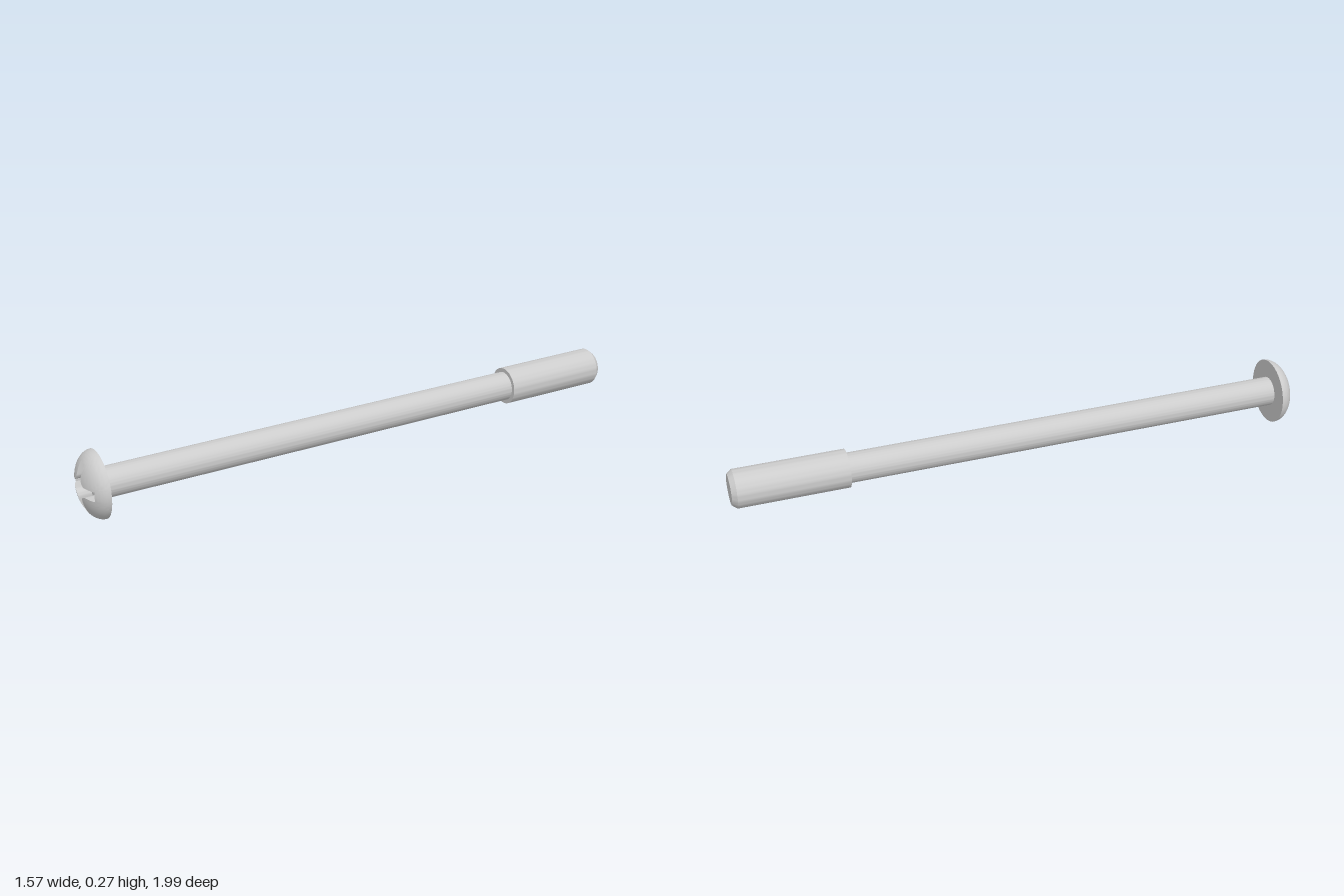
import * as THREE from 'three';
import { toCreasedNormals } from 'three/addons/utils/BufferGeometryUtils.js';

const material = new THREE.MeshStandardMaterial({ color: 0xcccccc });
const HEAD_R = 0.136, HEAD_H = 0.08;    // domed head
const ARM_L = 0.1, ARM_W = 0.02, FILLET = 0.03, FLOOR = 0.02; // cross recess
const LENGTH = 2.324, SLEEVE_START = 1.857;

function addMesh(group, name, geometry) {
  const mesh = new THREE.Mesh(toCreasedNormals(geometry, 0.6), material);
  mesh.name = name;
  group.add(mesh);
}

// Counter-clockwise outline of the cross, with rounded inner corners
function crossOutline() {
  const points = [];
  const line = (x0, y0, x1, y1, n) => {
    for (let k = 0; k < n; k++) {
      points.push(new THREE.Vector2(x0 + (x1 - x0) * k / n, y0 + (y1 - y0) * k / n));
    }
  };
  const c = ARM_W + FILLET;
  for (let q = 0; q < 4; q++) {
    const start = points.length;
    line(ARM_L, -ARM_W, ARM_L, ARM_W, 4);
    line(ARM_L, ARM_W, c, ARM_W, 4);
    for (let k = 0; k < 8; k++) {
      const a = -Math.PI / 2 - (k / 8) * Math.PI / 2;
      points.push(new THREE.Vector2(c + FILLET * Math.cos(a), c + FILLET * Math.sin(a)));
    }
    line(ARM_W, c, ARM_W, ARM_L, 4);
    for (let i = start; i < points.length; i++) {
      points[i].rotateAround(new THREE.Vector2(), q * Math.PI / 2);
    }
  }
  return points;
}

// Elliptical dome around a sunken cross: floor, walls, then rings out to the rim
function headGeometry() {
  const outline = crossOutline(), cols = outline.length, rings = 14;
  const dome = r => HEAD_H * Math.sqrt(Math.max(0, 1 - (r / HEAD_R) ** 2));
  const rows = rings + 3, positions = [], index = [];
  for (const p of outline) {
    const inner = p.length(), a = p.angle();
    const put = (r, z) => positions.push(r * Math.cos(a), r * Math.sin(a), z);
    put(0, FLOOR);
    put(inner, FLOOR);
    for (let k = 0; k <= rings; k++) {
      const r = inner + (HEAD_R - inner) * Math.sin(k / rings * Math.PI / 2);
      put(r, k === rings ? 0 : dome(r));
    }
  }
  for (let j = 0; j < cols; j++) {
    for (let i = 0; i < rows - 1; i++) {
      const a = j * rows + i, d = ((j + 1) % cols) * rows + i;
      index.push(a, a + 1, d + 1);
      if (i > 0) index.push(a, d + 1, d);
    }
  }
  const geometry = new THREE.BufferGeometry();
  geometry.setAttribute('position', new THREE.Float32BufferAttribute(positions, 3));
  geometry.setIndex(index);
  return geometry;
}

// Turned part running backwards from the head along -z
function turned(profile) {
  const points = profile.map(([r, y]) => new THREE.Vector2(r, y));
  return new THREE.LatheGeometry(points, 64).rotateX(-Math.PI / 2);
}

export function createModel() {
  const model = new THREE.Group();
  model.name = 'screw';
  const screw = new THREE.Group();
  screw.name = 'screwBody';
  model.add(screw);

  addMesh(screw, 'head', headGeometry());
  addMesh(screw, 'headUnderside', new THREE.CircleGeometry(HEAD_R, 64).rotateY(Math.PI));
  addMesh(screw, 'shaft', turned([[0.061, 0], [0.061, SLEEVE_START]]));
  // Thicker end section with a chamfered tip
  addMesh(screw, 'threadedEnd', turned([
    [0.061, SLEEVE_START], [0.078, SLEEVE_START],
    [0.078, LENGTH - 0.02], [0.062, LENGTH], [0, LENGTH],
  ]));

  // Lay the screw diagonally, head towards the front
  screw.rotation.y = -0.648;
  screw.position.set(-0.67, HEAD_R, 0.89);
  return model;
}
